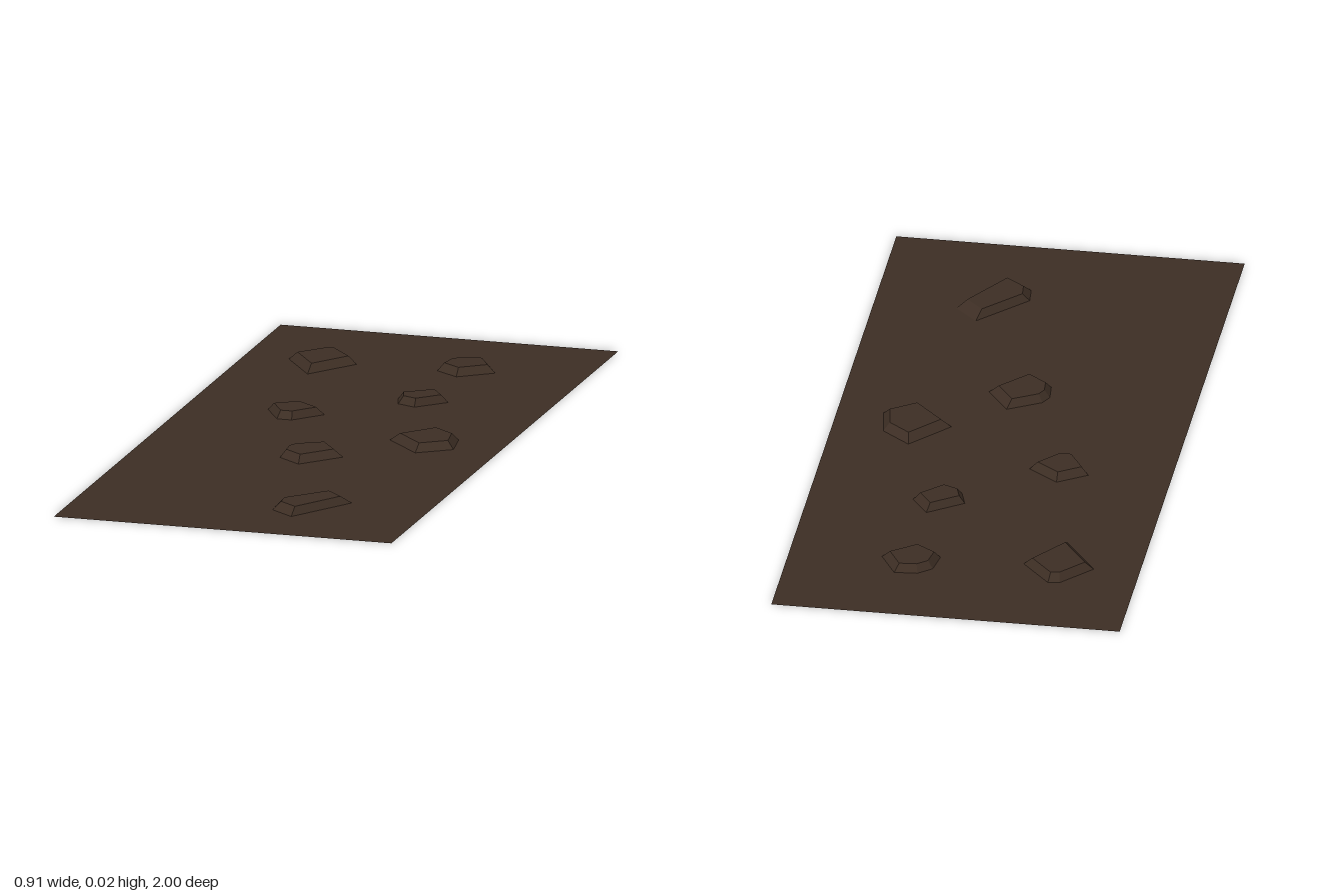
import * as THREE from 'three';

const STONE_HEIGHT = 0.02;
const TOP_SCALE = 0.75;

// Ground outlines of the stones as [x, z], clockwise seen from above
const STONES = [
  [[-0.335, -0.68], [-0.26, -0.765], [-0.23, -0.77], [-0.152, -0.68], [-0.245, -0.55]],
  [[0.065, -0.68], [0.075, -0.745], [0.11, -0.775], [0.17, -0.78], [0.215, -0.7], [0.13, -0.635]],
  [[0.05, -0.385], [0.14, -0.45], [0.185, -0.385], [0.115, -0.315], [0.065, -0.335]],
  [[-0.24, -0.185], [-0.165, -0.235], [-0.085, -0.175], [-0.15, -0.1], [-0.19, -0.1]],
  [[0.15, 0.015], [0.245, -0.095], [0.32, -0.035], [0.335, 0.06], [0.25, 0.12]],
  [[-0.075, 0.21], [-0.06, 0.18], [0.025, 0.13], [0.085, 0.215], [-0.005, 0.315], [-0.07, 0.265]],
  [[0.06, 0.715], [0.18, 0.585], [0.24, 0.645], [0.13, 0.82], [0.065, 0.77]],
];

// Flat-topped stone: sloping sides from the outline up to a smaller copy of it
function stoneGeometry(outline) {
  const n = outline.length;
  const cx = outline.reduce((s, p) => s + p[0], 0) / n;
  const cz = outline.reduce((s, p) => s + p[1], 0) / n;
  const base = outline.map(([x, z]) => [x, 0, z]);
  const top = outline.map(([x, z]) => [
    cx + (x - cx) * TOP_SCALE, STONE_HEIGHT, cz + (z - cz) * TOP_SCALE,
  ]);
  const centre = [cx, STONE_HEIGHT, cz];
  const corners = [];
  for (let i = 0; i < n; i++) {
    const j = (i + 1) % n;
    corners.push(base[i], top[i], base[j], base[j], top[i], top[j]); // side
    corners.push(centre, top[j], top[i]); // wedge of the top
  }
  const geometry = new THREE.BufferGeometry();
  geometry.setAttribute('position', new THREE.Float32BufferAttribute(corners.flat(), 3));
  geometry.computeVertexNormals();
  return geometry;
}

export function createModel() {
  const model = new THREE.Group();
  model.name = 'dirtPath';

  const soil = new THREE.MeshStandardMaterial({
    name: 'dark brown soil', color: 0x3d2e24, flatShading: true, side: THREE.DoubleSide,
  });

  // Thin sheet of ground
  const ground = new THREE.Mesh(new THREE.PlaneGeometry(0.91, 2).rotateX(-Math.PI / 2), soil);
  ground.name = 'ground';
  model.add(ground);

  // Scattered stones
  const stones = new THREE.Group();
  stones.name = 'stones';
  STONES.forEach((outline, i) => {
    const stone = new THREE.Mesh(stoneGeometry(outline), soil);
    stone.name = `stone${i + 1}`;
    stones.add(stone);
  });
  model.add(stones);

  return model;
}
